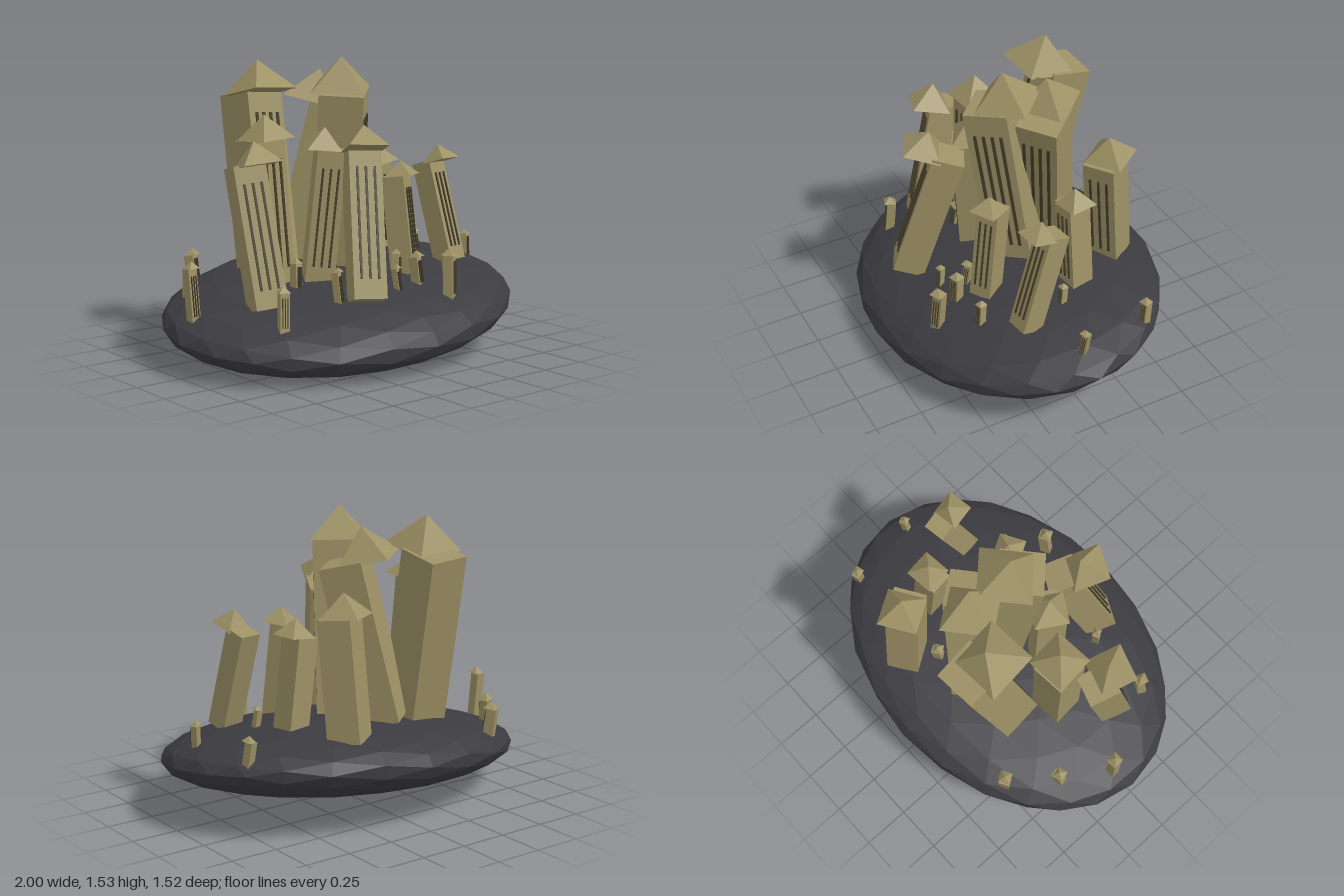
import * as THREE from 'three';

const mat = (name, color) => {
  const m = new THREE.MeshStandardMaterial({ color, flatShading: true });
  m.name = name;
  return m;
};

// Height of the rock's upper surface at a point
const ground = (x, z) =>
  0.245 + 0.075 * x - 0.118 * z + 0.215 * Math.sqrt(Math.max(0, 1 - x * x - (z / 0.76) ** 2));

export function createModel() {
  const model = new THREE.Group();
  model.name = 'towerRock';
  const stone = mat('sandstone', 0x9d9165);
  const dark = mat('windowShadow', 0x453f2b);
  const slate = mat('darkRock', 0x3c3b40);

  const add = (parent, name, geometry, material, x = 0, y = 0, z = 0) => {
    const mesh = new THREE.Mesh(geometry, material);
    mesh.name = name;
    mesh.position.set(x, y, z);
    parent.add(mesh);
    return mesh;
  };

  // Flattened, tilted rock
  const rock = new THREE.IcosahedronGeometry(1, 3);
  rock.applyMatrix4(new THREE.Matrix4().set(
    1, 0, 0, 0,
    0.075, 0.215, -0.09, 0.245,
    0, 0, 0.76, 0,
    0, 0, 0, 1));
  add(model, 'rock', rock, slate);

  // Tower: the shaft leans about its middle, the roof sits straight above that middle
  function tower(name, x, z, top, apex, half, yaw, dx, dz) {
    const base = ground(x, z) - 0.03;
    const h = top - base;
    const lean = new THREE.Euler(2 * dz / h, yaw * Math.PI / 180, -2 * dx / h, 'XZY');
    const group = new THREE.Group();
    group.name = name;
    group.position.set(x, base + h / 2, z);
    model.add(group);

    const shaft = new THREE.Group();
    shaft.name = 'shaft';
    shaft.rotation.copy(lean);
    group.add(shaft);
    add(shaft, 'walls', new THREE.BoxGeometry(2 * half, h, 2 * half), stone);

    // Tall slit windows on the front wall
    const count = half > 0.1 ? 4 : 3;
    for (let i = 0; i < count; i++) {
      const wx = ((i + 0.5) / count - 0.5) * 1.6 * half;
      add(shaft, 'window', new THREE.BoxGeometry(half * 0.14, h * 0.74, 0.009), dark, wx, 0, half + 0.003);
    }

    // Pyramid roof with a small overhang
    const roof = new THREE.ConeGeometry(half * 1.2 * Math.SQRT2, apex - top, 4);
    roof.rotateY(Math.PI / 4);
    add(group, 'roof', roof, stone, 0, h / 2 + (apex - top) / 2, 0).rotation.copy(lean);
  }

  // Large towers: x, z, wall top, apex, half width, yaw, lean of the top in x and z
  [
    [0, 0, 1.36, 1.535, 0.115, 45, -0.03, 0.06],
    [0.02, -0.23, 1.29, 1.46, 0.11, 38, 0.08, 0.06],
    [-0.26, -0.36, 1.34, 1.51, 0.115, 4, 0.02, -0.1],
    [-0.15, 0.37, 1.1, 1.22, 0.083, -25, 0.06, -0.1],
    [-0.19, 0.1, 1.08, 1.19, 0.075, -30, 0.02, 0.03],
    [-0.62, 0.11, 1.03, 1.15, 0.083, -18, -0.01, -0.08],
    [-0.44, -0.06, 1.13, 1.255, 0.088, 5, -0.02, -0.02],
    [0.3, -0.44, 1.07, 1.19, 0.085, 33, 0.01, 0.03],
    [0.41, -0.18, 0.94, 1.03, 0.063, 8, -0.03, 0],
    [0.58, 0.12, 0.96, 1.05, 0.06, 8, -0.01, -0.08],
    [0.23, 0.21, 0.92, 1.0, 0.06, 30, -0.01, -0.03],
  ].forEach((t) => tower('tower', ...t));

  // Small turrets scattered around: x, z, height, half width, yaw
  [
    [-0.57, -0.54, 0.17, 0.026, 30], [-0.74, -0.31, 0.15, 0.024, 15],
    [-0.89, -0.06, 0.28, 0.025, 3], [-0.65, 0.37, 0.2, 0.024, -20],
    [-0.31, 0.36, 0.17, 0.018, 25], [-0.37, 0.1, 0.14, 0.022, 10],
    [0.04, 0.4, 0.12, 0.015, 20], [0.13, 0.29, 0.14, 0.018, 35],
    [0.19, 0.38, 0.16, 0.024, 20], [0.28, 0.53, 0.23, 0.026, 30],
    [0.42, 0.36, 0.13, 0.018, 10], [0.4, -0.03, 0.1, 0.018, 30],
    [0.55, -0.04, 0.11, 0.016, 5], [0.87, 0.02, 0.13, 0.017, 25],
    [0.81, -0.37, 0.13, 0.021, 15], [0.17, -0.35, 0.12, 0.022, 35],
  ].forEach(([x, z, h, half, yaw], i) => {
    const apex = ground(x, z) + h;
    const side = i % 2 ? 1 : -1;
    tower('turret', x, z, apex - half * 1.4, apex, half, yaw, side * 0.006, -0.008);
  });

  return model;
}
